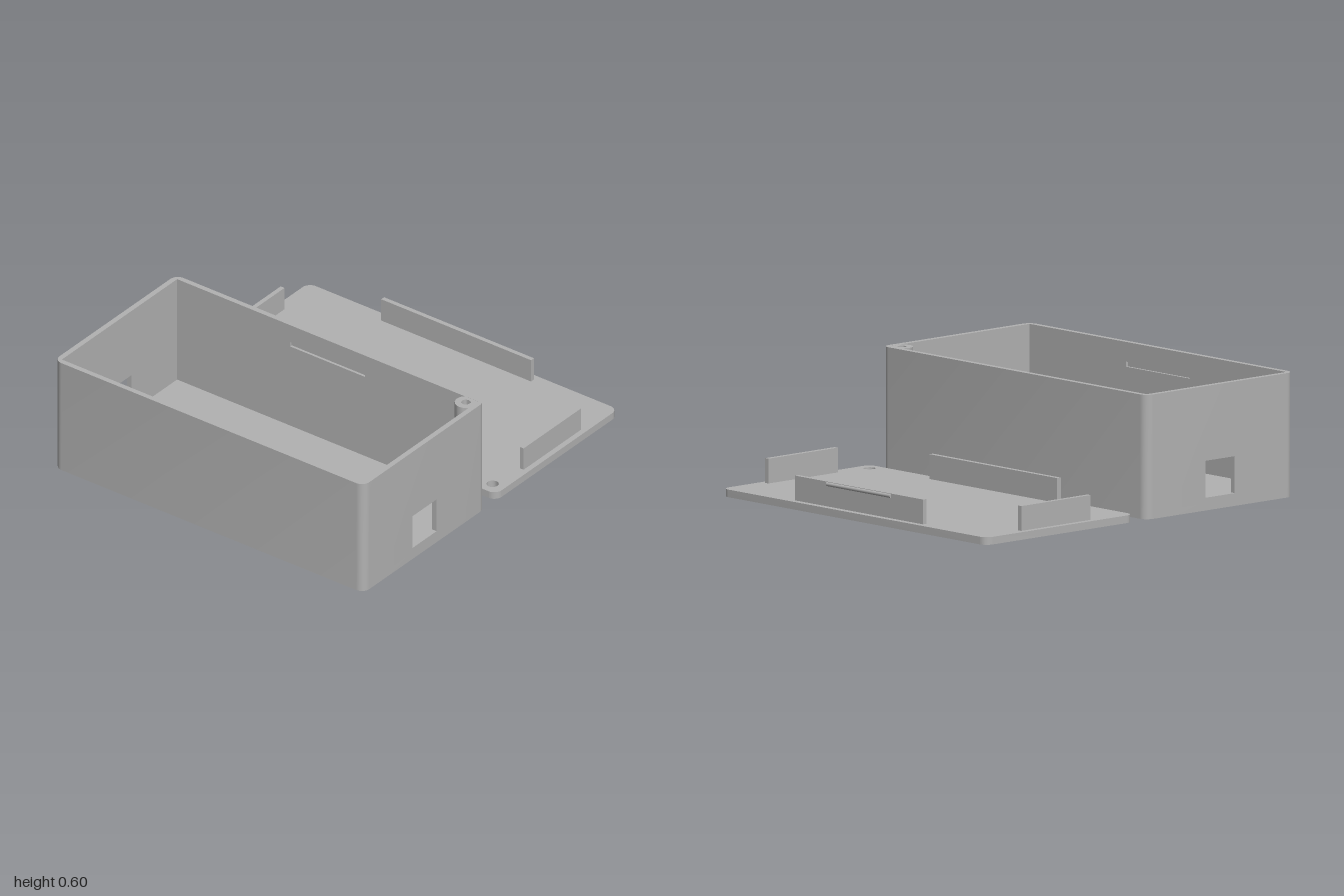
import * as THREE from 'three';
import { mergeGeometries, toCreasedNormals } from 'three/addons/utils/BufferGeometryUtils.js';

const W = 0.93, D = 0.48, R = 0.045, H = 0.603;   // half width, half depth, corner radius, height
const WALL = 0.027, FLOOR = 0.037;
const IW = W - WALL, ID = D - WALL;               // inner half sizes
const POST = { x: 0.86, z: 0.415 };               // screw position from the centre

const rect = (C, u0, u1, v0, v1) => new C([[u0, v0], [u1, v0], [u1, v1], [u0, v1]].map(p => new THREE.Vector2(...p)));

function roundedRect() {
  const s = new THREE.Shape();
  [[1, 1], [-1, 1], [-1, -1], [1, -1]].forEach(([sx, sy], k) =>
    s.absarc(sx * (W - R), sy * (D - R), R, k * Math.PI / 2, (k + 1) * Math.PI / 2, false));
  return s;
}

// Flat panel facing +z at a distance, then turned about y
const panel = (shape, dist, turn) => new THREE.ShapeGeometry(shape, 8).translate(0, 0, dist).rotateY(turn);

// Inside-out box keeping only the listed sides (+x -x +y -y +z -z)
function recess(w, h, d, sides) {
  const g = new THREE.BoxGeometry(w, h, d);
  const idx = Array.from(g.index.array);
  g.setIndex(sides.flatMap(s => idx.slice(s * 6, s * 6 + 6)).reverse());
  return g;
}

function boxShell() {
  const parts = [];
  const winW = 0.094, winY0 = 0.062, winY1 = 0.241;
  const slotW = 0.225, slotY0 = 0.483, slotY1 = 0.508, slotDepth = 0.013;

  for (const s of [1, -1]) {
    // End walls with a square window
    const turn = s * Math.PI / 2;
    const outer = rect(THREE.Shape, -(D - R), D - R, 0, H);
    const inner = rect(THREE.Shape, -ID, ID, FLOOR, H);
    for (const shape of [outer, inner]) shape.holes.push(rect(THREE.Path, -winW, winW, winY0, winY1));
    parts.push(panel(outer, W, turn), panel(inner, -IW, turn));
    parts.push(recess(WALL, winY1 - winY0, 2 * winW, [2, 3, 4, 5])
      .translate(s * (W - WALL / 2), (winY0 + winY1) / 2, 0));

    // Long walls with a snap slot inside
    const face = s > 0 ? 0 : Math.PI;
    const slotted = rect(THREE.Shape, -IW, IW, FLOOR, H);
    slotted.holes.push(rect(THREE.Path, -slotW, slotW, slotY0, slotY1));
    parts.push(panel(rect(THREE.Shape, -(W - R), W - R, 0, H), D, face), panel(slotted, -ID, face));
    parts.push(recess(2 * slotW, slotY1 - slotY0, slotDepth, [0, 1, 2, 3, s > 0 ? 4 : 5])
      .translate(0, (slotY0 + slotY1) / 2, s * (ID + slotDepth / 2)));
  }

  // Rounded corners
  for (let k = 0; k < 4; k++) {
    const sx = k < 2 ? 1 : -1, sz = k % 3 === 0 ? 1 : -1;
    parts.push(new THREE.CylinderGeometry(R, R, H, 8, 1, true, k * Math.PI / 2, Math.PI / 2)
      .translate(sx * (W - R), H / 2, sz * (D - R)));
  }

  // Rim, inner floor and underside
  const rim = roundedRect();
  rim.holes.push(rect(THREE.Path, -IW, IW, -ID, ID));
  parts.push(new THREE.ShapeGeometry(rim, 8).rotateX(-Math.PI / 2).translate(0, H, 0));
  parts.push(new THREE.ShapeGeometry(rect(THREE.Shape, -IW, IW, -ID, ID)).rotateX(-Math.PI / 2).translate(0, FLOOR, 0));
  parts.push(new THREE.ShapeGeometry(roundedRect(), 8).rotateX(Math.PI / 2));

  return toCreasedNormals(mergeGeometries(parts.map(g => g.toNonIndexed())), 0.6);
}

export function createModel() {
  const grey = new THREE.MeshStandardMaterial({ color: 0xb2b2b2 });
  grey.name = 'grey plastic';
  const model = new THREE.Group();
  model.name = 'enclosure';
  const add = (parent, name, geometry, x = 0, y = 0, z = 0) => {
    const mesh = new THREE.Mesh(geometry, grey);
    mesh.name = name;
    mesh.position.set(x, y, z);
    parent.add(mesh);
    return mesh;
  };

  // Open box
  const box = new THREE.Group();
  box.name = 'box';
  box.position.z = 0.52;
  model.add(box);
  add(box, 'boxShell', boxShell());

  // Hollow screw post in the back corner
  const profile = [[0.053, FLOOR], [0.053, H - 0.0005], [0.022, H - 0.0005], [0.022, FLOOR]]
    .map(p => new THREE.Vector2(...p));
  add(box, 'screwPost', toCreasedNormals(new THREE.LatheGeometry(profile, 32), 0.6), POST.x, 0, -POST.z);

  // Lid lying behind the box, inside up
  const lid = new THREE.Group();
  lid.name = 'lid';
  lid.position.z = -0.52;
  model.add(lid);
  const plate = roundedRect();
  plate.holes.push(new THREE.Path().absarc(POST.x, -POST.z, 0.029, 0, Math.PI * 2, true));
  const plateGeometry = new THREE.ExtrudeGeometry(plate, { depth: FLOOR, bevelEnabled: false, curveSegments: 12 });
  add(lid, 'lidPlate', toCreasedNormals(plateGeometry.rotateX(-Math.PI / 2), 0.6));

  // Locating tabs, with snap ridges on the long pair
  const tabH = 0.12, tabT = 0.023, tabY = FLOOR + tabH / 2;
  for (const s of [1, -1]) {
    add(lid, 'longTab', new THREE.BoxGeometry(0.9, tabH, tabT), 0, tabY, s * 0.436);
    add(lid, 'endTab', new THREE.BoxGeometry(tabT, tabH, 0.45), s * 0.89, tabY, 0);
    add(lid, 'snapRidge', new THREE.CylinderGeometry(0.01, 0.01, 0.45, 16).rotateZ(Math.PI / 2), 0, 0.145, s * 0.446);
  }
  return model;
}
